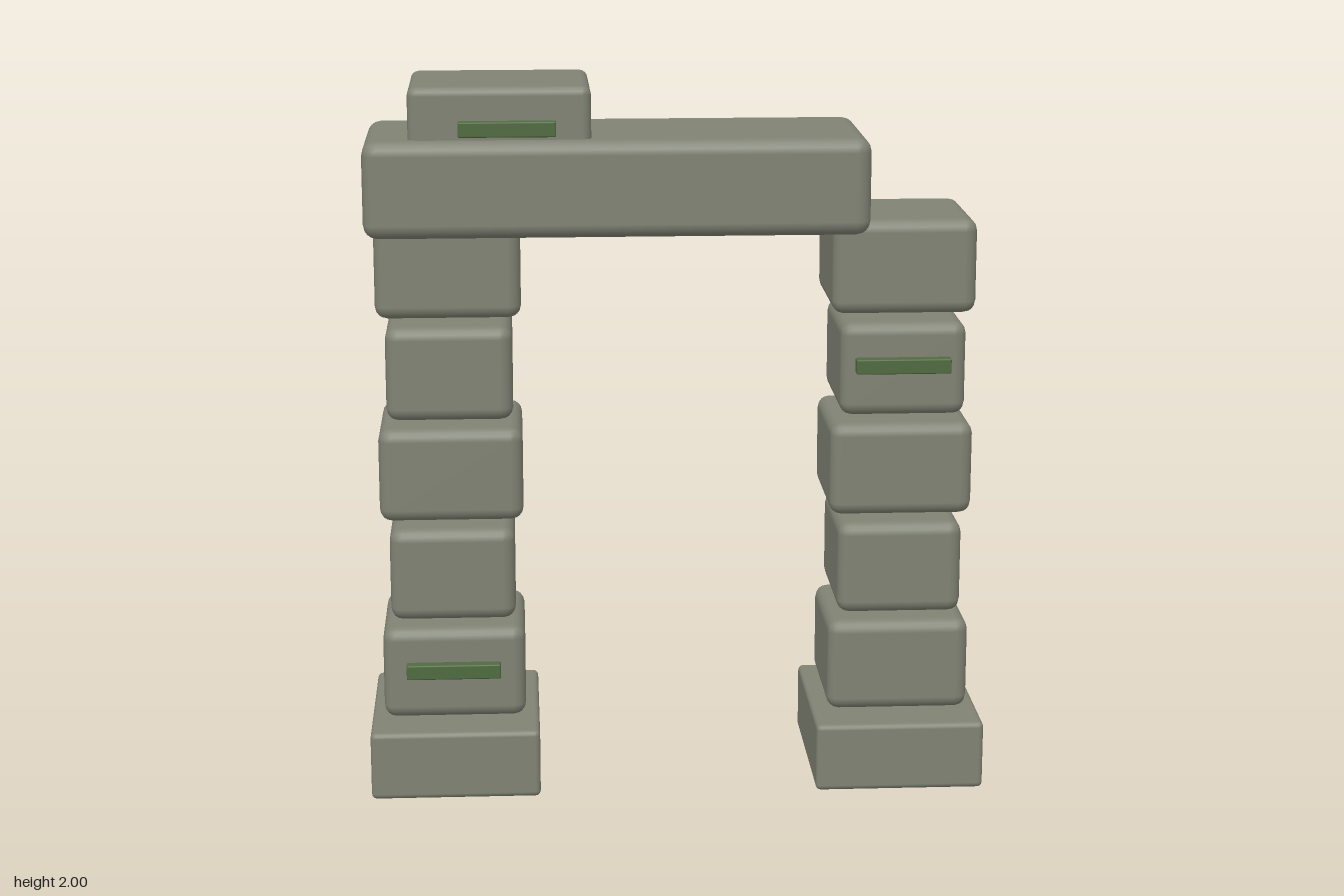
import * as THREE from 'three';
import { RoundedBoxGeometry } from 'three/addons/geometries/RoundedBoxGeometry.js';

export function createModel() {
  const group = new THREE.Group();
  group.name = 'stoneArch';
  const stone = new THREE.MeshStandardMaterial({ color: 0x808374 });
  stone.name = 'stone';
  const moss = new THREE.MeshStandardMaterial({ color: 0x506b40 });
  moss.name = 'moss';

  // Rounded box given by its extents on each axis
  function block(name, material, [x0, x1], [y0, y1], [z0, z1], radius) {
    const geometry = new RoundedBoxGeometry(x1 - x0, y1 - y0, z1 - z0, 2, radius);
    const mesh = new THREE.Mesh(geometry, material);
    mesh.name = name;
    mesh.position.set((x0 + x1) / 2, (y0 + y1) / 2, (z0 + z1) / 2);
    group.add(mesh);
  }

  // Two pillars: a plinth and five separated stones, alternately wide and narrow
  for (const [side, x] of [['right', -0.63], ['left', 0.627]]) {
    block(`${side}Plinth`, stone, [x - 0.238, x + 0.238], [0, 0.195], [-0.275, 0.275], 0.015);
    for (let i = 0; i < 5; i++) {
      const half = i % 2 ? 0.175 : 0.2;
      const y = 0.212 + i * 0.2875;
      block(`${side}PillarStone${i + 1}`, stone, [x - half, x + half], [y, y + 0.264], [-0.197, 0.197], 0.035);
    }
  }

  // Shifted lintel and the stone left on top of it
  block('lintel', stone, [-0.855, 0.527], [1.589, 1.857], [-0.238, 0.238], 0.04);
  block('capStone', stone, [-0.73, -0.234], [1.82, 2], [-0.2, 0.2], 0.025);

  // Moss strips on the front faces
  for (const [x, y] of [[-0.632, 0.358], [0.624, 1.222], [-0.462, 1.888]]) {
    block('mossStrip', moss, [x - 0.132, x + 0.132], [y - 0.021, y + 0.021], [0.17, 0.228], 0.004);
  }
  return group;
}
